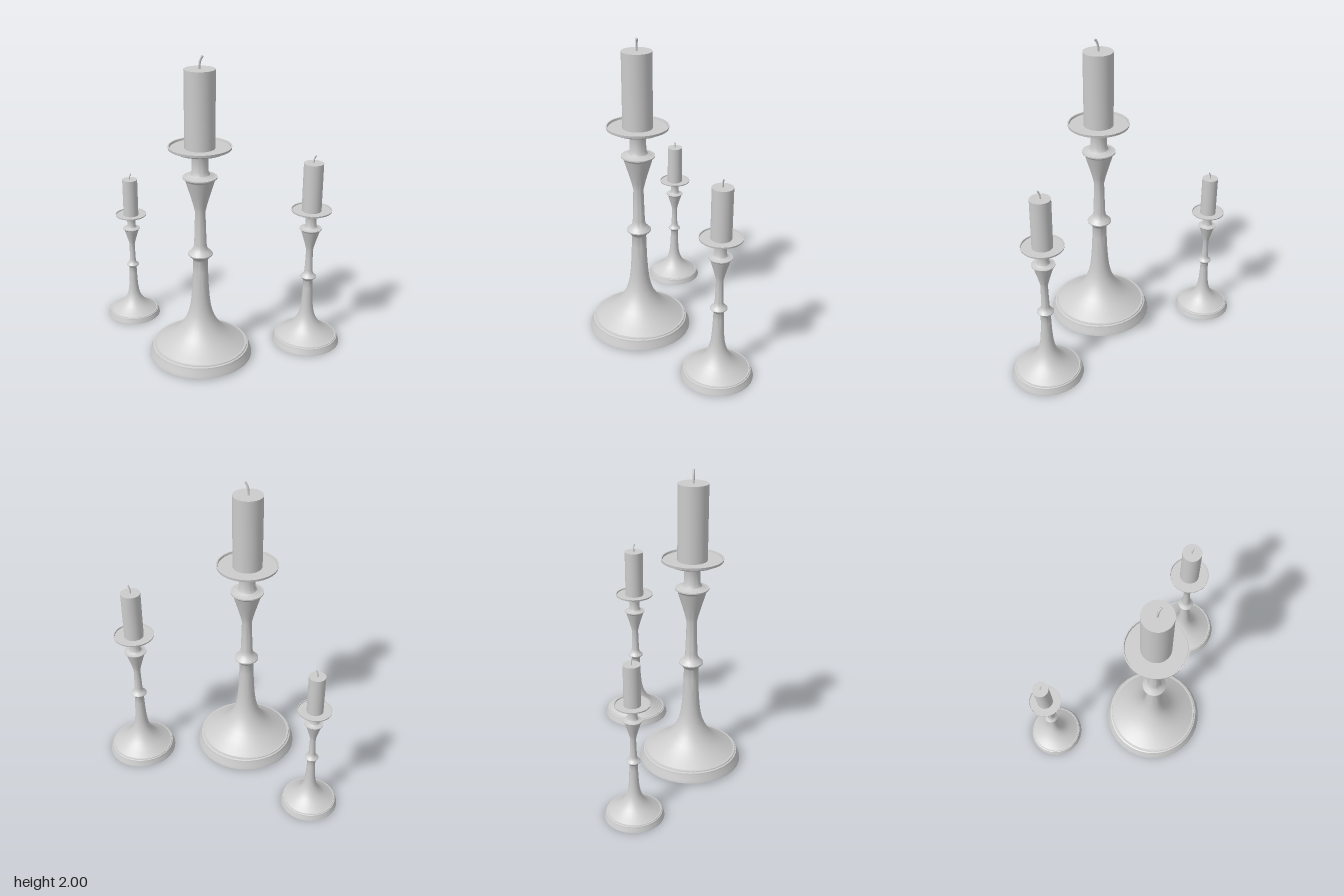
import * as THREE from 'three';
import { toCreasedNormals } from 'three/addons/utils/BufferGeometryUtils.js';

const SIDES = 32;
const material = new THREE.MeshStandardMaterial({ color: 0xcccccc, side: THREE.DoubleSide });

// Turned part from [radius, height] pairs, listed bottom to top
function turned(name, profile) {
  const points = profile.map(([r, y]) => new THREE.Vector2(r, y));
  const geometry = toCreasedNormals(new THREE.LatheGeometry(points, SIDES), 0.55);
  const mesh = new THREE.Mesh(geometry, material);
  mesh.name = name;
  return mesh;
}

// One full-size candlestick standing on y = 0
function createCandlestick(name) {
  const group = new THREE.Group();
  group.name = name;

  // Stepped foot
  group.add(turned('foot', [
    [0, 0], [0.34, 0], [0.335, 0.02], [0.321, 0.048], [0.318, 0.062],
    [0.308, 0.066], [0.306, 0.072], [0.294, 0.073],
  ]));

  // Flared stem with the pointed knob
  group.add(turned('stem', [
    [0.294, 0.073], [0.25, 0.098], [0.2, 0.131], [0.16, 0.164], [0.125, 0.205],
    [0.098, 0.25], [0.08, 0.295], [0.067, 0.35], [0.059, 0.415], [0.053, 0.5],
    [0.049, 0.6], [0.047, 0.675], [0.055, 0.69], [0.079, 0.714], [0.079, 0.721],
    [0.058, 0.742], [0.045, 0.758], [0.04, 0.785], [0.036, 0.9], [0.033, 1.005],
    [0.043, 1.05], [0.06, 1.11], [0.077, 1.165], [0.092, 1.215],
  ]));

  // Collar and neck
  group.add(turned('collar', [
    [0.092, 1.215], [0.095, 1.222], [0.108, 1.232], [0.108, 1.24],
    [0.085, 1.242], [0.062, 1.255], [0.053, 1.275], [0.052, 1.36],
    [0.058, 1.378], [0.078, 1.392], [0.11, 1.399],
  ]));

  // Shallow drip dish with a raised rim
  group.add(turned('dripDish', [
    [0.11, 1.399], [0.158, 1.404], [0.168, 1.418], [0.195, 1.422],
    [0.197, 1.437], [0.189, 1.437], [0.186, 1.424], [0, 1.424],
  ]));

  group.add(turned('candle', [[0.095, 1.424], [0.095, 1.905], [0, 1.905]]));

  // Bent wick
  const path = new THREE.CatmullRomCurve3([
    new THREE.Vector3(-0.003, 1.9, 0), new THREE.Vector3(0, 1.935, 0),
    new THREE.Vector3(0.008, 1.964, 0), new THREE.Vector3(0.02, 1.983, 0),
  ]);
  const wick = new THREE.Mesh(new THREE.TubeGeometry(path, 10, 0.007, 8), material);
  wick.name = 'wick';
  group.add(wick);
  const tip = new THREE.Mesh(new THREE.SphereGeometry(0.007, 8, 6), material);
  tip.name = 'wickTip';
  tip.position.set(0.019, 1.98, 0);
  group.add(tip);
  return group;
}

export function createModel() {
  const model = new THREE.Group();
  model.name = 'candlesticks';
  // name, position, scale
  const set = [
    ['tallCandlestick', [-0.004, 0.013, 0.149], 1],
    ['mediumCandlestick', [0.61, 0, -0.265], 0.672],
    ['smallCandlestick', [-0.655, 0, -0.187], 0.543],
  ];
  for (const [name, position, scale] of set) {
    const stick = createCandlestick(name);
    stick.position.set(...position);
    stick.scale.setScalar(scale);
    model.add(stick);
  }
  return model;
}
